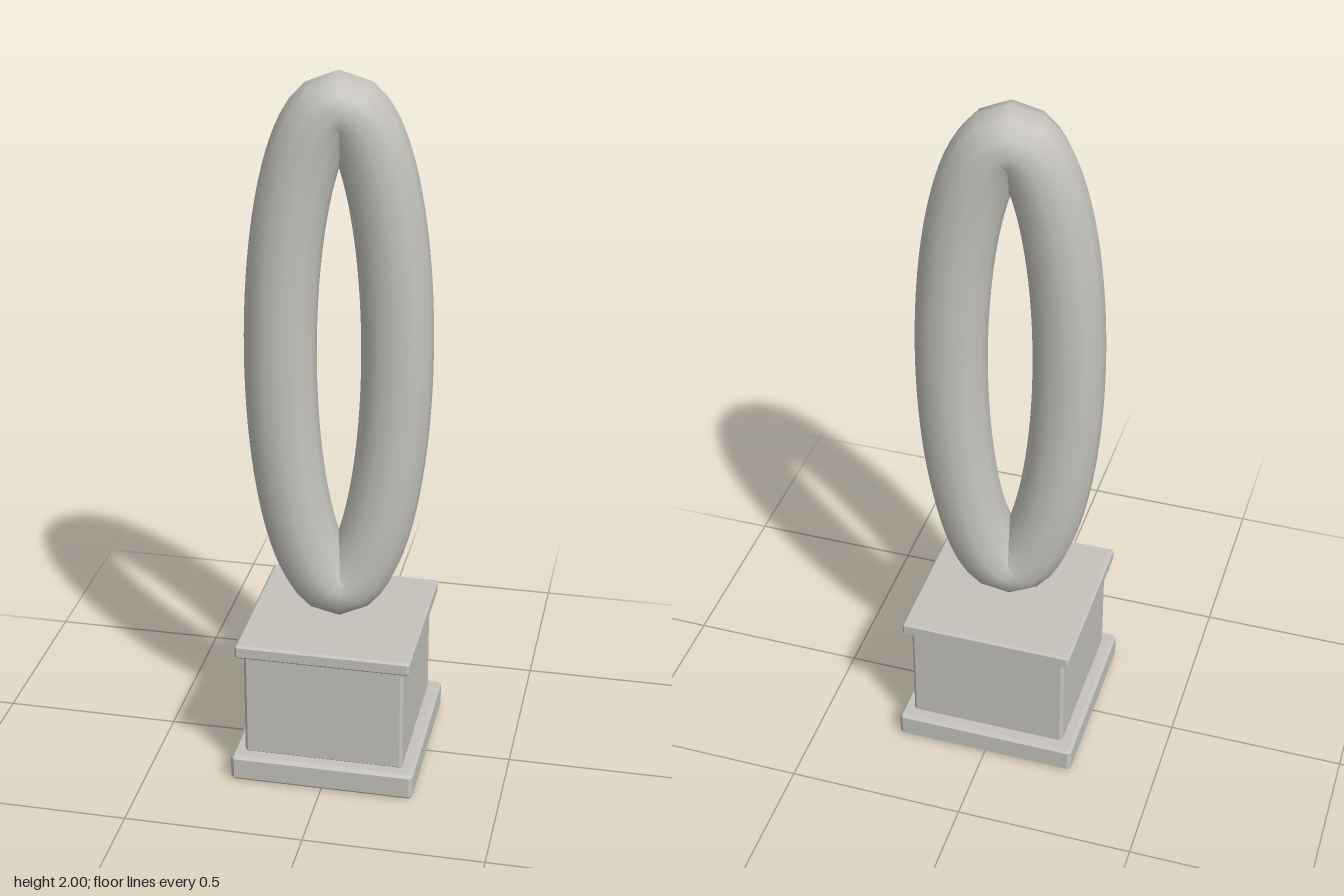
import * as THREE from 'three';
import { ConvexGeometry } from 'three/addons/geometries/ConvexGeometry.js';

const stone = new THREE.MeshStandardMaterial({ color: 0xc4c2bb });
stone.name = 'pale stone';

// Upright ellipse that the ring's tube follows
class EllipsePath extends THREE.Curve {
  constructor(a, b) {
    super();
    this.a = a;
    this.b = b;
  }
  getPoint(t, target = new THREE.Vector3()) {
    const u = t * Math.PI * 2;
    return target.set(this.a * Math.cos(u), this.b * Math.sin(u), 0);
  }
}

// Box with flat chamfers on every edge, standing between y0 and y1
function chamferedBlock(name, half, y0, y1, bevel) {
  const hy = (y1 - y0) / 2;
  const points = [];
  for (const sx of [-1, 1]) for (const sy of [-1, 1]) for (const sz of [-1, 1]) {
    for (let axis = 0; axis < 3; axis++) {
      const h = [half, hy, half].map((v, i) => (i === axis ? v : v - bevel));
      points.push(new THREE.Vector3(sx * h[0], sy * h[1], sz * h[2]));
    }
  }
  const mesh = new THREE.Mesh(new ConvexGeometry(points), stone);
  mesh.name = name;
  mesh.position.y = (y0 + y1) / 2;
  return mesh;
}

export function createModel() {
  const model = new THREE.Group();
  model.name = 'ringSculpture';

  // Stepped square pedestal
  const pedestal = new THREE.Group();
  pedestal.name = 'pedestal';
  pedestal.add(
    chamferedBlock('plinth', 0.26, 0, 0.08, 0.01),
    chamferedBlock('pedestalBody', 0.225, 0.075, 0.395, 0.008),
    chamferedBlock('pedestalCap', 0.245, 0.39, 0.43, 0.006),
  );
  model.add(pedestal);

  // Tall oval ring, turned slightly about its vertical axis
  const path = new EllipsePath(0.157, 0.685);
  const ring = new THREE.Mesh(new THREE.TubeGeometry(path, 96, 0.0975, 12, true), stone);
  ring.name = 'ovalRing';
  ring.position.y = 1.2175;
  ring.rotation.y = 0.22;
  model.add(ring);

  return model;
}
